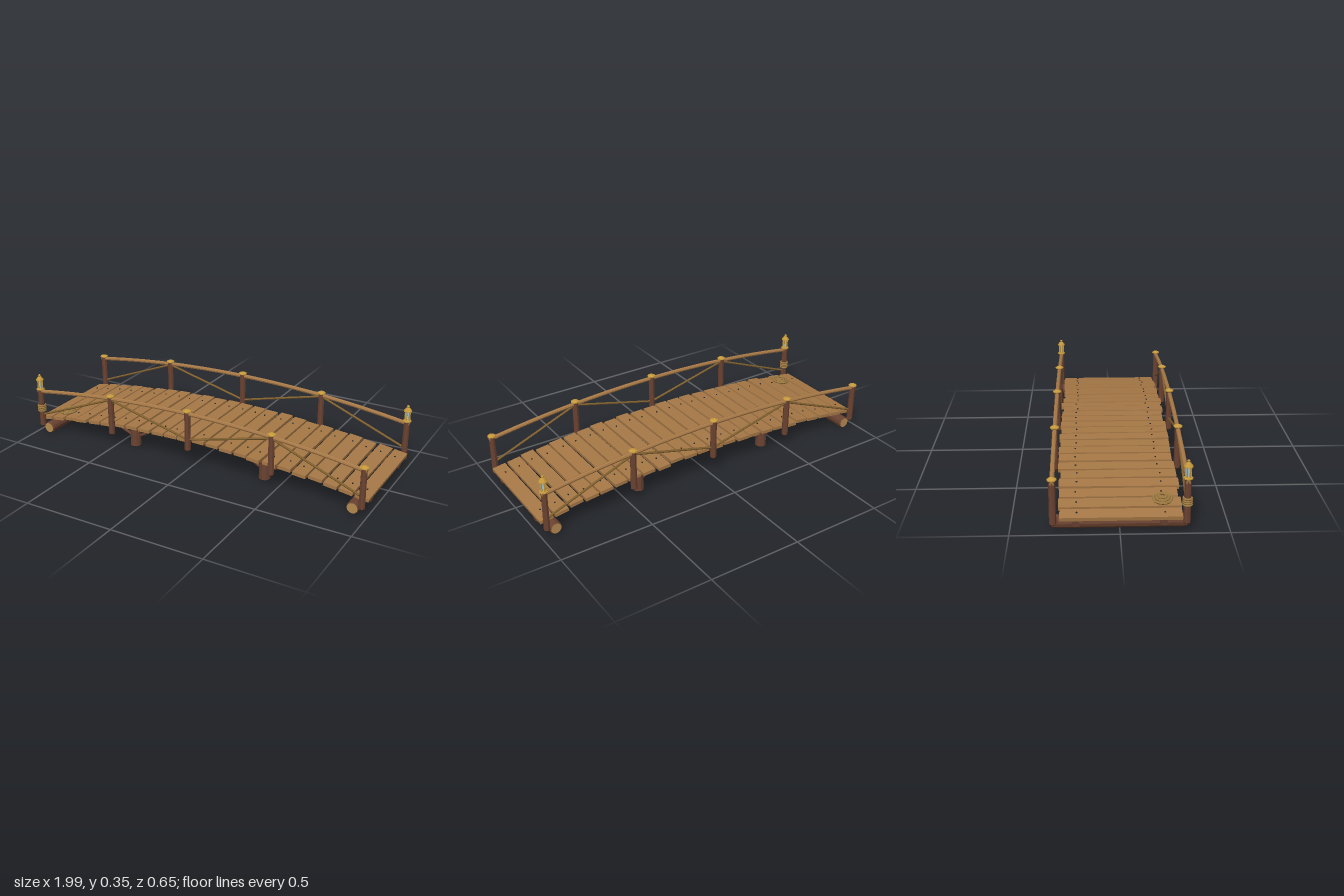
import * as THREE from 'three';

const mat = (name, color, flat = true) => {
  const m = new THREE.MeshStandardMaterial({ color, flatShading: flat });
  m.name = name;
  return m;
};

export function createModel() {
  const root = new THREE.Group();
  root.name = 'footbridge';
  const bark = mat('dark timber', 0x6a4231);
  const plank = mat('plank wood', 0xa67846);
  const cut = mat('cut log end', 0xb58850);
  const brass = mat('brass', 0xc4983c);
  const rope = mat('rope', 0x9c7840);
  const strut = mat('brace wood', 0x80602f);
  const iron = mat('iron', 0x2b2b30);
  const glass = mat('lantern glass', 0x9fc0cc);

  let seed = 7;
  const rand = () => {
    seed = (seed * 16807) % 2147483647;
    return seed / 2147483647 - 0.5;
  };
  const drop = (x) => 0.08 * x * x; // arch shared by deck and rails
  const V = (x, y, z) => new THREE.Vector3(x, y, z);

  const add = (name, geo, material, x = 0, y = 0, z = 0, parent = root) => {
    const mesh = new THREE.Mesh(geo, material);
    mesh.name = name;
    mesh.position.set(x, y, z);
    parent.add(mesh);
    return mesh;
  };
  // Round timber between two points
  const rod = (name, a, b, r, sides, material) => {
    const d = b.clone().sub(a);
    const m = add(name, new THREE.CylinderGeometry(r, r, d.length(), sides), material);
    m.position.copy(a).lerp(b, 0.5);
    m.quaternion.setFromUnitVectors(V(0, 1, 0), d.normalize());
    return m;
  };
  // Arched timber with a regular polygon section
  const arch = (name, y, z, r, sides, half, material) => {
    const pts = [], ring = [];
    for (let i = 0; i <= 16; i++) {
      const x = half * (i / 8 - 1);
      pts.push(V(x, y - drop(x), z));
    }
    for (let i = 0; i < sides; i++) {
      const a = Math.PI / 2 + (i / sides) * Math.PI * 2;
      ring.push(new THREE.Vector2(r * Math.cos(a), r * Math.sin(a)));
    }
    const geo = new THREE.ExtrudeGeometry(new THREE.Shape(ring), {
      steps: 24, bevelEnabled: false, extrudePath: new THREE.CatmullRomCurve3(pts),
    });
    add(name, geo, material);
  };
  const lathe = (name, pts, sides, material, x, y, z) =>
    add(name, new THREE.LatheGeometry(pts.map((p) => new THREE.Vector2(...p)), sides), material, x, y, z);

  // Deck planks, slightly uneven, each with two nails
  const COUNT = 24, pitch = 2 / COUNT;
  for (let i = 0; i < COUNT; i++) {
    const x = -1 + pitch * (i + 0.5);
    const end = i === 0 || i === COUNT - 1;
    const board = new THREE.Group();
    board.name = 'deckBoard';
    board.position.set(x, 0.154 - drop(x) + rand() * 0.003, rand() * 0.012);
    board.rotation.set(0, end ? 0 : rand() * 0.03, Math.atan(-0.16 * x));
    root.add(board);
    add('plank', new THREE.BoxGeometry(0.071 + rand() * 0.005, 0.018, 0.562 + rand() * 0.02), plank, 0, 0, 0, board);
    for (const z of [-0.2, 0.2])
      add('nail', new THREE.CylinderGeometry(0.004, 0.004, 0.006, 6), iron, rand() * 0.02, 0.0105, z, board);
  }

  // Stringers, handrails
  for (const s of [-1, 1]) {
    arch('stringer', 0.127, s * 0.2, 0.019, 6, 0.985, bark);
    arch('handrail', 0.322, s * 0.303, 0.011, 8, 0.985, plank);
  }

  // End sill logs with pale cut ends
  for (const x of [-0.925, 0.925]) {
    const log = add('sillLog', new THREE.CylinderGeometry(0.032, 0.032, 0.61, 12), [bark, cut, cut], x, 0.033, 0);
    log.rotation.x = Math.PI / 2;
    for (const s of [-1, 1]) {
      const tip = add('sillLogEnd', new THREE.CylinderGeometry(0.028, 0.032, 0.005, 12), [bark, cut, cut], x, 0.033, s * 0.3075);
      tip.rotation.x = s * Math.PI / 2;
    }
  }

  // Piers with cross beams and knee braces
  for (const x of [-0.4, 0.4]) {
    for (const z of [-0.2, 0.2]) {
      add('pier', new THREE.CylinderGeometry(0.028, 0.031, 0.1, 10), bark, x, 0.06, z);
      for (const d of [-1, 1])
        rod('kneeBrace', V(x + d * 0.02, 0.063, z), V(x + d * 0.095, 0.113 - drop(x + d * 0.095), z), 0.008, 6, bark);
    }
    rod('crossBeam', V(x, 0.085, -0.2), V(x, 0.085, 0.2), 0.016, 8, bark);
  }

  // Railing posts with brass caps, and diagonal braces
  const cap = [[0, 0], [0.018, 0], [0.023, 0.003], [0.023, 0.008], [0.014, 0.013], [0.006, 0.016], [0, 0.016]];
  for (const s of [-1, 1]) {
    const z = s * 0.303;
    for (const x of [-0.97, -0.484, 0, 0.484, 0.97]) {
      const low = 0.113 - drop(x), top = 0.333 - drop(x);
      lathe('railPost', [[0, low], [0.012, low], [0.017, low + 0.006], [0.016, top], [0, top]], 8, bark, x, 0, z);
      lathe('postCap', cap, 8, brass, x, top - 0.002, z);
    }
    for (const d of [-1, 1]) {
      rod('railBrace', V(d * 0.96, 0.108, z), V(d * 0.484, 0.297, z), 0.006, 6, strut);
      rod('railBrace', V(d * 0.484, 0.297, z), V(0, 0.175, z), 0.006, 6, strut);
    }
  }

  // Lanterns on two opposite corners
  for (const s of [-1, 1]) {
    const x = s * 0.97, z = -s * 0.303;
    add('lanternGlass', new THREE.CylinderGeometry(0.0125, 0.0125, 0.056, 6), glass, x, 0.291, z);
    for (let i = 0; i < 6; i++) {
      const a = (i / 6) * Math.PI * 2;
      add('lanternBar', new THREE.BoxGeometry(0.004, 0.056, 0.004), brass,
        x + 0.0135 * Math.sin(a), 0.291, z + 0.0135 * Math.cos(a)).rotation.y = a;
    }
    lathe('lanternBase', [[0, 0], [0.02, 0], [0.018, 0.006], [0, 0.006]], 8, brass, x, 0.262, z);
    lathe('lanternRoof', [[0, 0], [0.022, 0], [0.022, 0.004], [0.011, 0.019], [0.007, 0.021],
      [0.005, 0.024], [0.008, 0.028], [0.006, 0.033], [0, 0.035]], 8, brass, x, 0.315, z);
  }

  // Rope wrapped round one corner post
  for (let i = 0; i < 4; i++) {
    const wrap = add('ropeWrap', new THREE.TorusGeometry(0.019, 0.0055, 6, 16), rope, -0.97, 0.132 + i * 0.0103, 0.303);
    wrap.rotation.x = Math.PI / 2;
  }

  // Rope coil lying on the deck
  const coil = new THREE.Group();
  coil.name = 'ropeCoil';
  coil.position.set(-0.86, 0.163 - drop(0.86), 0.2);
  coil.rotation.z = 0.137;
  root.add(coil);
  [0.043, 0.031, 0.019].forEach((r, i) => {
    const ring = add('coilRing', new THREE.TorusGeometry(r, 0.007, 6, 20), rope, 0, 0.007 + i * 0.007, 0, coil);
    ring.rotation.x = Math.PI / 2;
  });

  return root;
}
